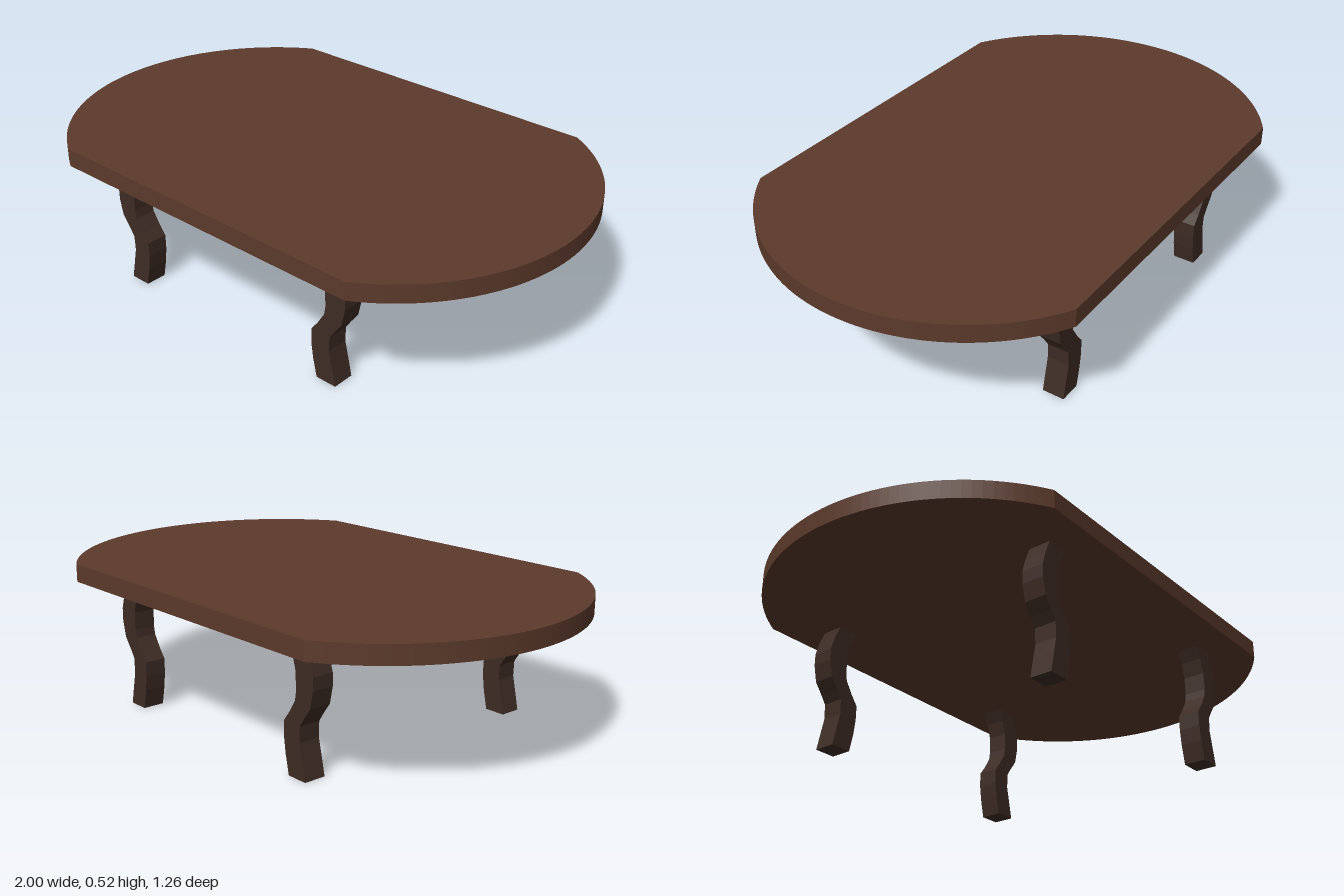
import * as THREE from 'three';

const topMaterial = new THREE.MeshStandardMaterial({ color: 0x5c3a2b });
const legMaterial = new THREE.MeshStandardMaterial({ color: 0x3e2c25 });

// Slab with straight long sides and bowed ends
function createTabletop() {
  const halfX = 0.635, halfZ = 0.63, bow = 1 - halfX;
  const radius = (halfZ * halfZ + bow * bow) / (2 * bow);
  const centre = 1 - radius;
  const angle = Math.atan2(halfZ, halfX - centre);
  const shape = new THREE.Shape();
  shape.absarc(centre, 0, radius, -angle, angle, false);
  shape.absarc(-centre, 0, radius, Math.PI - angle, Math.PI + angle, false);
  shape.closePath();
  const geometry = new THREE.ExtrudeGeometry(shape, { depth: 0.065, bevelEnabled: false, curveSegments: 24 });
  geometry.rotateX(-Math.PI / 2);
  const mesh = new THREE.Mesh(geometry, topMaterial);
  mesh.name = 'tabletop';
  mesh.position.y = 0.455;
  return mesh;
}

// S-curved leg profile in x and y; side mirrors it
function createLeg(side, z) {
  const inner = [[0.415, 0], [0.4, 0.07], [0.393, 0.125], [0.393, 0.18], [0.42, 0.215],
    [0.448, 0.26], [0.453, 0.29], [0.452, 0.355], [0.437, 0.41], [0.415, 0.457]];
  const outer = [[0.495, 0.457], [0.518, 0.405], [0.533, 0.355], [0.533, 0.31], [0.52, 0.25],
    [0.49, 0.21], [0.47, 0.18], [0.468, 0.125], [0.48, 0.07], [0.495, 0]];
  const shape = new THREE.Shape([...inner, ...outer].map(([x, y]) => new THREE.Vector2(side * x, y)));
  const geometry = new THREE.ExtrudeGeometry(shape, { depth: 0.08, bevelEnabled: false });
  geometry.translate(0, 0, z - 0.04);
  return new THREE.Mesh(geometry, legMaterial);
}

export function createModel() {
  const table = new THREE.Group();
  table.name = 'table';
  table.add(createTabletop());
  for (const side of [-1, 1]) {
    for (const end of [-1, 1]) {
      const leg = createLeg(side, end * 0.468);
      leg.name = (end > 0 ? 'front' : 'back') + (side > 0 ? 'Left' : 'Right') + 'Leg';
      table.add(leg);
    }
  }
  return table;
}
